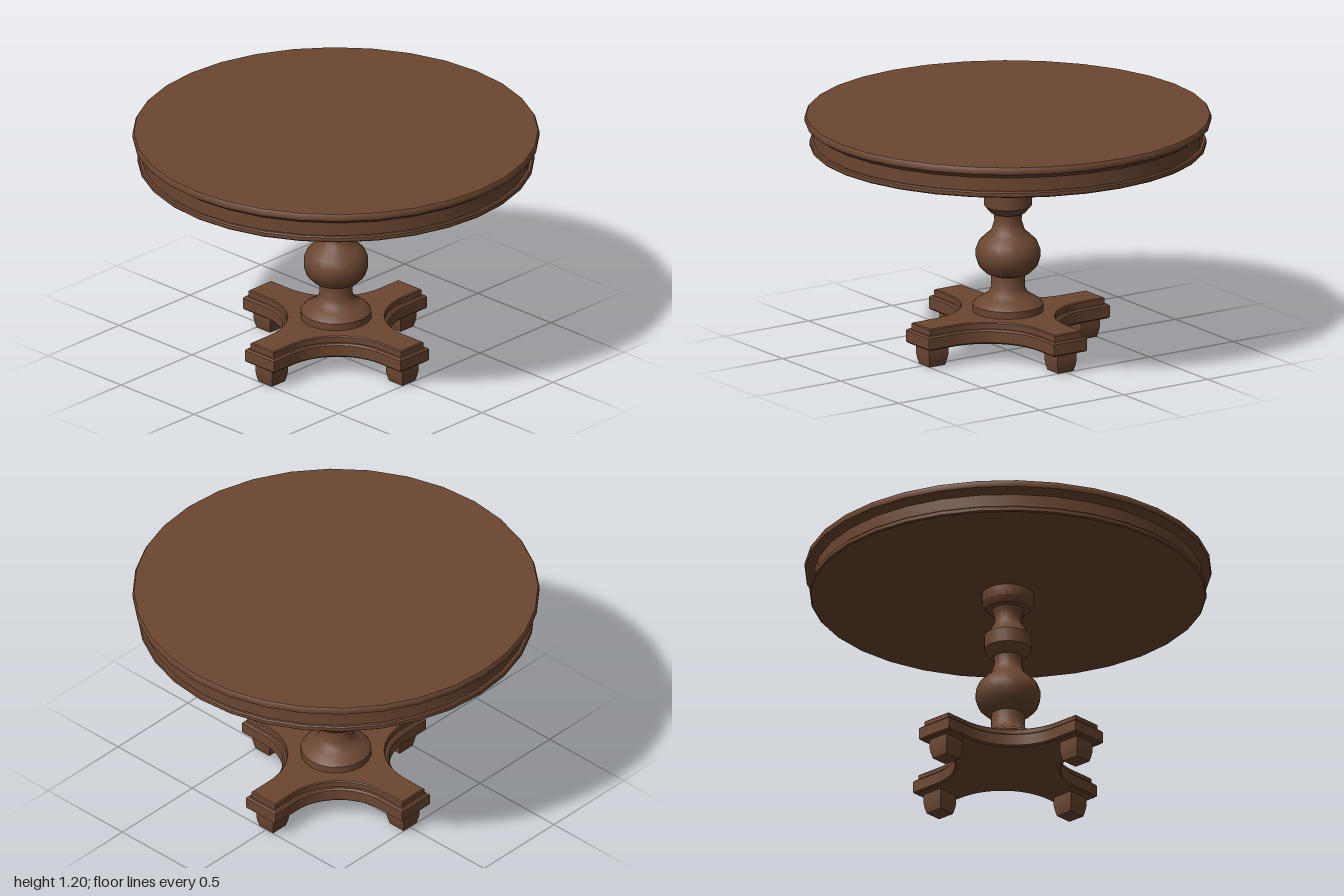
import * as THREE from 'three';
import { toCreasedNormals } from 'three/addons/utils/BufferGeometryUtils.js';

const wood = new THREE.MeshStandardMaterial({ color: 0x6b4630 });
wood.name = 'brown wood';

function part(name, geometry) {
  const mesh = new THREE.Mesh(toCreasedNormals(geometry, 0.65), wood);
  mesh.name = name;
  return mesh;
}

// Turned part from [radius, height] pairs, bottom to top
function turned(name, profile, sides) {
  return part(name, new THREE.LatheGeometry(profile.map(([r, y]) => new THREE.Vector2(r, y)), sides));
}

// Cross-shaped slab with four arms and concave arcs between them
function crossSlab(name, reach, half, bottom, top, bevel) {
  const c = 0.39, a = reach - bevel, h = half - bevel;
  const shape = new THREE.Shape();
  for (let i = 0; i < 4; i++) {
    const turn = i * Math.PI / 2, cos = Math.cos(turn), sin = Math.sin(turn);
    const at = (x, y) => [x * cos - y * sin, x * sin + y * cos];
    if (i === 0) shape.moveTo(...at(a, -h));
    else shape.lineTo(...at(a, -h));
    shape.lineTo(...at(a, h));
    shape.lineTo(...at(c, h));
    shape.absarc(...at(c, c), c - h, turn - Math.PI / 2, turn - Math.PI, true);
  }
  shape.closePath();
  const geometry = new THREE.ExtrudeGeometry(shape, {
    depth: top - bottom - 2 * bevel, curveSegments: 10,
    bevelEnabled: true, bevelSize: bevel, bevelThickness: bevel, bevelSegments: 1,
  });
  geometry.rotateX(-Math.PI / 2).translate(0, bottom + bevel, 0);
  return part(name, geometry);
}

// Square foot with a tapered lower end
function footGeometry() {
  const geometry = new THREE.BoxGeometry(0.114, 0.11, 0.114, 1, 4, 1).translate(0, 0.055, 0);
  const p = geometry.attributes.position;
  for (let i = 0; i < p.count; i++) {
    const y = p.getY(i);
    const s = y < 0.01 ? 0.8 : y < 0.03 ? 0.92 : 1;
    p.setXYZ(i, p.getX(i) * s, y, p.getZ(i) * s);
  }
  return geometry;
}

export function createModel() {
  const table = new THREE.Group();
  table.name = 'pedestalTable';

  // Round top with moulded edge, apron and lower lip
  table.add(turned('tabletop', [
    [0, 1.14], [0.955, 1.14], [0.965, 1.15], [0.998, 1.168], [1, 1.175],
    [1, 1.193], [0.993, 1.203], [0, 1.203],
  ], 32));
  table.add(turned('apron', [
    [0, 1.044], [0.97, 1.044], [0.976, 1.05], [0.976, 1.068], [0.97, 1.074],
    [0.958, 1.074], [0.958, 1.142],
  ], 32));

  // Turned column
  table.add(turned('column', [
    [0, 0.2], [0.175, 0.2], [0.175, 0.24], [0.16, 0.257], [0.13, 0.275],
    [0.1, 0.295], [0.083, 0.325], [0.083, 0.39], [0.11, 0.4], [0.145, 0.435],
    [0.16, 0.48], [0.16, 0.515], [0.145, 0.555], [0.11, 0.59], [0.085, 0.61],
    [0.075, 0.64], [0.067, 0.665], [0.07, 0.7], [0.085, 0.705], [0.118, 0.742],
    [0.118, 0.815], [0.09, 0.845], [0.07, 0.88], [0.064, 0.905], [0.07, 0.935],
    [0.08, 0.957], [0.105, 0.96], [0.128, 0.99], [0.128, 1.046],
  ], 20));

  // Stepped cross base
  table.add(crossSlab('baseSlab', 0.54, 0.1, 0.1, 0.172, 0.008));
  table.add(crossSlab('baseStep', 0.522, 0.08, 0.165, 0.205, 0.005));

  // Feet under the arm ends
  const foot = footGeometry();
  for (const [x, z] of [[1, 0], [-1, 0], [0, 1], [0, -1]]) {
    const mesh = part('foot', foot);
    mesh.position.set(x * 0.453, 0, z * 0.453);
    table.add(mesh);
  }
  return table;
}
